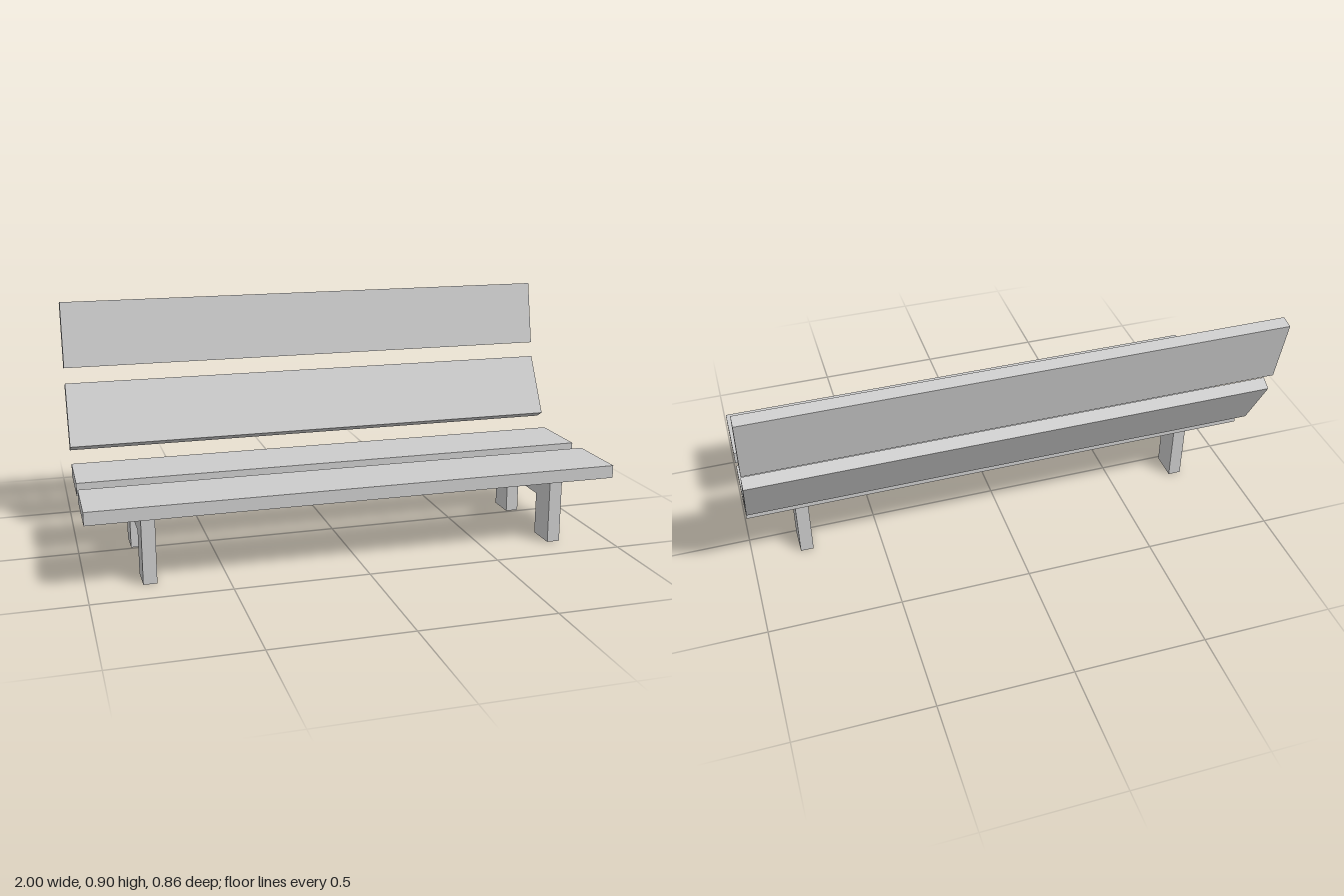
import * as THREE from 'three';

const material = new THREE.MeshStandardMaterial({ color: 0xcccccc, flatShading: true, side: THREE.DoubleSide });

// Every board has the same size; it stands upright until tilted about x.
const boards = [
  { name: 'frontSeatPlank', y: 0.283, z: 0.302, tilt: -Math.PI / 2 },
  { name: 'rearSeatPlank', y: 0.283, z: -0.034, tilt: -Math.PI / 2 },
  { name: 'lowerBackPlank', y: 0.466, z: -0.279, tilt: -0.505 },
  { name: 'upperBackPlank', y: 0.772, z: -0.38, tilt: -0.203 },
];

// Arch-shaped leg frame in the z-y plane, hollow at the feet.
function legFrameGeometry(thickness) {
  const shape = new THREE.Shape([
    [0.375, 0], [0.375, 0.26], [-0.12, 0.26], [-0.12, 0],
    [-0.01, 0], [-0.01, 0.164], [0.26, 0.164], [0.26, 0],
  ].map(([z, y]) => new THREE.Vector2(z, y)));
  const solid = new THREE.ExtrudeGeometry(shape, { depth: thickness, bevelEnabled: false });
  solid.rotateY(-Math.PI / 2).translate(thickness / 2, 0, 0);

  // Leave out the triangles that would close the feet.
  const p = solid.attributes.position;
  const kept = [];
  for (let i = 0; i < p.count; i += 3) {
    if (Math.max(p.getY(i), p.getY(i + 1), p.getY(i + 2)) < 0.001) continue;
    for (let k = i; k < i + 3; k++) kept.push(p.getX(k), p.getY(k), p.getZ(k));
  }
  const open = new THREE.BufferGeometry();
  open.setAttribute('position', new THREE.Float32BufferAttribute(kept, 3));
  open.computeVertexNormals();
  return open;
}

export function createModel() {
  const bench = new THREE.Group();
  bench.name = 'bench';

  // Seat and backrest boards
  const boardGeometry = new THREE.BoxGeometry(2, 0.258, 0.049);
  for (const { name, y, z, tilt } of boards) {
    const board = new THREE.Mesh(boardGeometry, material);
    board.name = name;
    board.position.set(0, y, z);
    board.rotation.x = tilt;
    bench.add(board);
  }

  // Leg frames
  const legGeometry = legFrameGeometry(0.05);
  for (const [name, x] of [['rightLegFrame', -0.777], ['leftLegFrame', 0.79]]) {
    const leg = new THREE.Mesh(legGeometry, material);
    leg.name = name;
    leg.position.x = x;
    bench.add(leg);
  }
  return bench;
}
